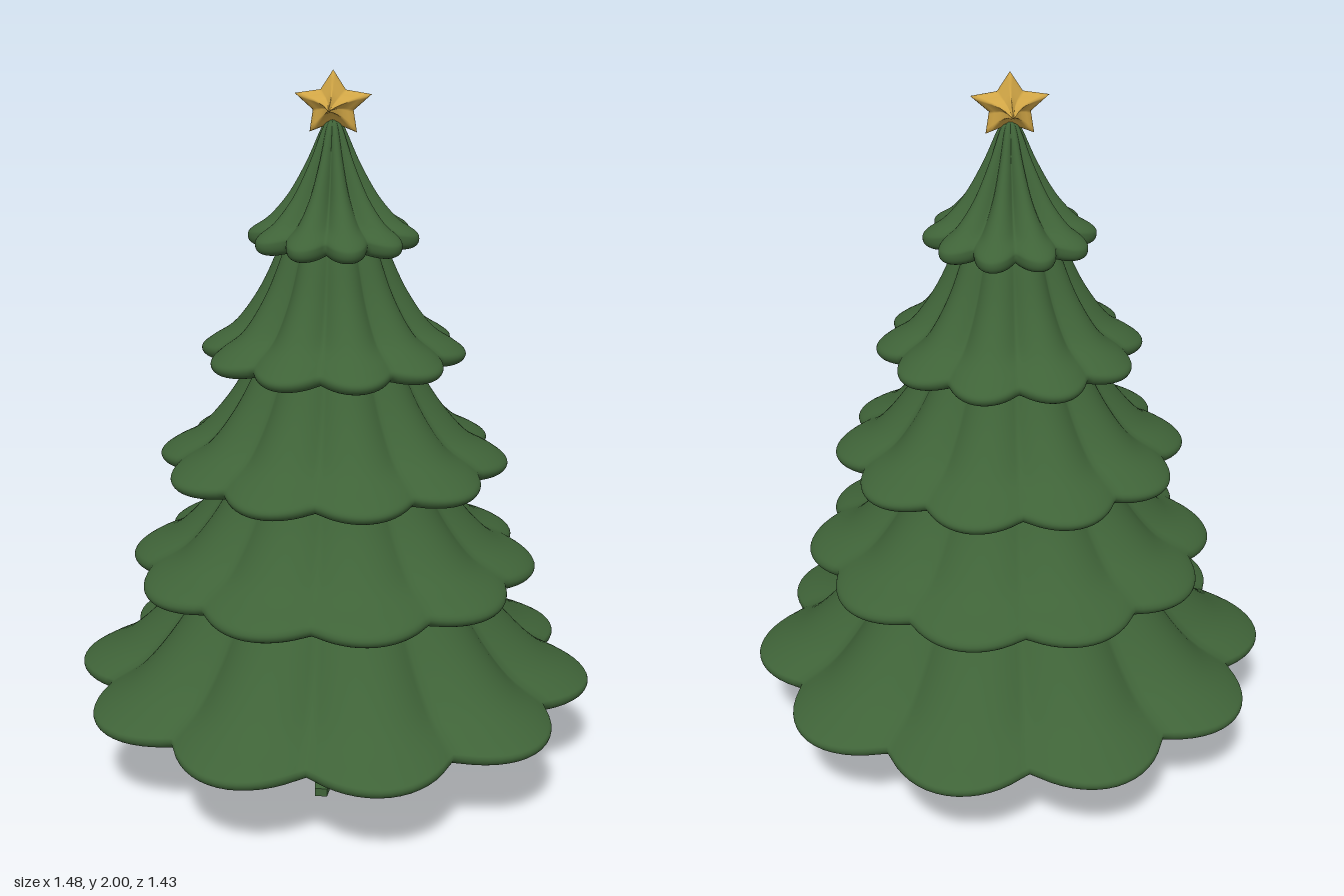
import * as THREE from 'three';

// Smooth closed-loop surface: rings x seg grid, point(j, theta) gives [x, y, z]
function loft(rings, seg, point) {
  const pos = [], idx = [];
  for (let j = 0; j < rings; j++)
    for (let i = 0; i < seg; i++) pos.push(...point(j, (i / seg) * Math.PI * 2));
  for (let j = 0; j < rings - 1; j++)
    for (let i = 0; i < seg; i++) {
      const k = (i + 1) % seg;
      const a = j * seg + i, b = j * seg + k, c = a + seg, d = b + seg;
      idx.push(a, b, c, b, d, c);
    }
  const g = new THREE.BufferGeometry();
  g.setAttribute('position', new THREE.Float32BufferAttribute(pos, 3));
  g.setIndex(idx);
  g.computeVertexNormals();
  return g;
}

// Scalloped skirt: outer slope, rolled rim, then the hollow underside
function tierGeometry({ outer, amp, inner }) {
  const [r, y] = outer[outer.length - 1];
  const pts = [
    ...outer,
    [r - 0.006, y - 0.02], [r - 0.03, y - 0.03],
    [r - 0.055, y - 0.02], [r - 0.07, y + 0.006],
    ...inner,
  ].map(([a, b]) => new THREE.Vector2(a, b));
  const profile = new THREE.SplineCurve(pts).getPoints(56);
  const top = outer[0][1];
  return loft(profile.length, 160, (j, t) => {
    const p = profile[j];
    const down = THREE.MathUtils.clamp((top - p.y) / (top - y), 0, 1);
    const c = Math.cos(5 * t);
    const notch = 1 - Math.pow(c * c + 0.004, 0.42);
    const R = Math.max(0.001, p.x - amp * notch * (0.12 * Math.min(1, p.x / 0.1) + 0.88 * down ** 1.3));
    return [R * Math.cos(t), p.y + 0.012 * notch * down ** 4, R * Math.sin(t)];
  });
}

// Five-armed star outline in polar form
function starRadius(t, tip, valley) {
  const step = Math.PI / 5;
  let a = (((t - Math.PI / 2) % (2 * step)) + 2 * step) % (2 * step);
  a = Math.min(a, 2 * step - a);
  return (tip * valley * Math.sin(step)) / (tip * Math.sin(a) + valley * Math.sin(step - a));
}

export function createModel() {
  const green = new THREE.MeshStandardMaterial({ color: 0x3f6338 });
  green.name = 'pineGreen';
  const brown = new THREE.MeshStandardMaterial({ color: 0x4d2d25 });
  brown.name = 'barkBrown';
  const gold = new THREE.MeshStandardMaterial({ color: 0xd0a545 });
  gold.name = 'starGold';

  const tree = new THREE.Group();
  tree.name = 'christmasTree';
  const add = (name, geometry, material, y = 0) => {
    const m = new THREE.Mesh(geometry, material);
    m.name = name;
    m.position.y = y;
    tree.add(m);
    return m;
  };

  // Branch tiers, bottom to top; each points list runs down the slope
  const tiers = [
    { amp: 0.105, outer: [[0.31, 0.71], [0.39, 0.59], [0.5, 0.45], [0.61, 0.345], [0.715, 0.285], [0.74, 0.267]],
      inner: [[0.56, 0.34], [0.45, 0.45], [0.34, 0.55], [0.06, 0.59]] },
    { amp: 0.06, outer: [[0.22, 1.02], [0.29, 0.9], [0.36, 0.79], [0.455, 0.69], [0.55, 0.638], [0.575, 0.615]],
      inner: [[0.44, 0.67], [0.29, 0.69]] },
    { amp: 0.062, outer: [[0.16, 1.35], [0.22, 1.22], [0.29, 1.1], [0.375, 1.0], [0.46, 0.948], [0.488, 0.925]],
      inner: [[0.36, 0.97], [0.2, 1.0]] },
    { amp: 0.056, outer: [[0.095, 1.65], [0.145, 1.53], [0.2, 1.41], [0.27, 1.31], [0.34, 1.26], [0.365, 1.238]],
      inner: [[0.25, 1.29], [0.14, 1.32]] },
    { amp: 0.055, outer: [[0.005, 1.88], [0.03, 1.85], [0.07, 1.76], [0.12, 1.67], [0.175, 1.605], [0.222, 1.572], [0.233, 1.555]],
      inner: [[0.13, 1.59], [0.08, 1.62]] },
  ];
  tiers.forEach((t, i) => add(`branchTier${i + 1}`, tierGeometry(t), green));

  // Trunk: bare bark below, green pole inside the branches
  add('trunk', new THREE.CylinderGeometry(0.07, 0.07, 0.26, 32), brown, 0.13);
  add('innerPole', new THREE.CylinderGeometry(0.07, 0.07, 0.36, 32), green, 0.44);

  // Stand: hub with five tapering feet, one pointing forward
  add('standHub', new THREE.CylinderGeometry(0.076, 0.08, 0.055, 32), green, 0.034);
  for (let k = 0; k < 5; k++) {
    const g = new THREE.BoxGeometry(1, 1, 1);
    const p = g.attributes.position;
    for (let i = 0; i < p.count; i++) {
      const tip = p.getZ(i) > 0, up = p.getY(i) > 0;
      p.setXYZ(i, p.getX(i) * (tip ? 0.034 : 0.09),
        up ? (tip ? 0.034 : 0.066) : (tip ? 0.01 : 0.022),
        tip ? 0.31 : 0.05);
    }
    g.computeVertexNormals();
    add('standFoot', g, green).rotation.y = (k * Math.PI * 2) / 5;
  }

  // Star: five arms with a concave spike to the front and the back
  const half = [[0.003, 0.106], [0.07, 0.1], [0.16, 0.072], [0.3, 0.044], [0.5, 0.026], [0.75, 0.016], [0.94, 0.009]];
  const rings = [...half, [1, 0], ...half.map(([s, z]) => [s, -z]).reverse()];
  const star = loft(rings.length, 80, (j, t) => {
    const [s, z] = rings[j];
    const r = starRadius(-t, 1, 0.53) * s;
    return [0.108 * r * Math.cos(t), -0.091 * r * Math.sin(t), z];
  });
  add('star', star, gold, 1.909);

  return tree;
}
